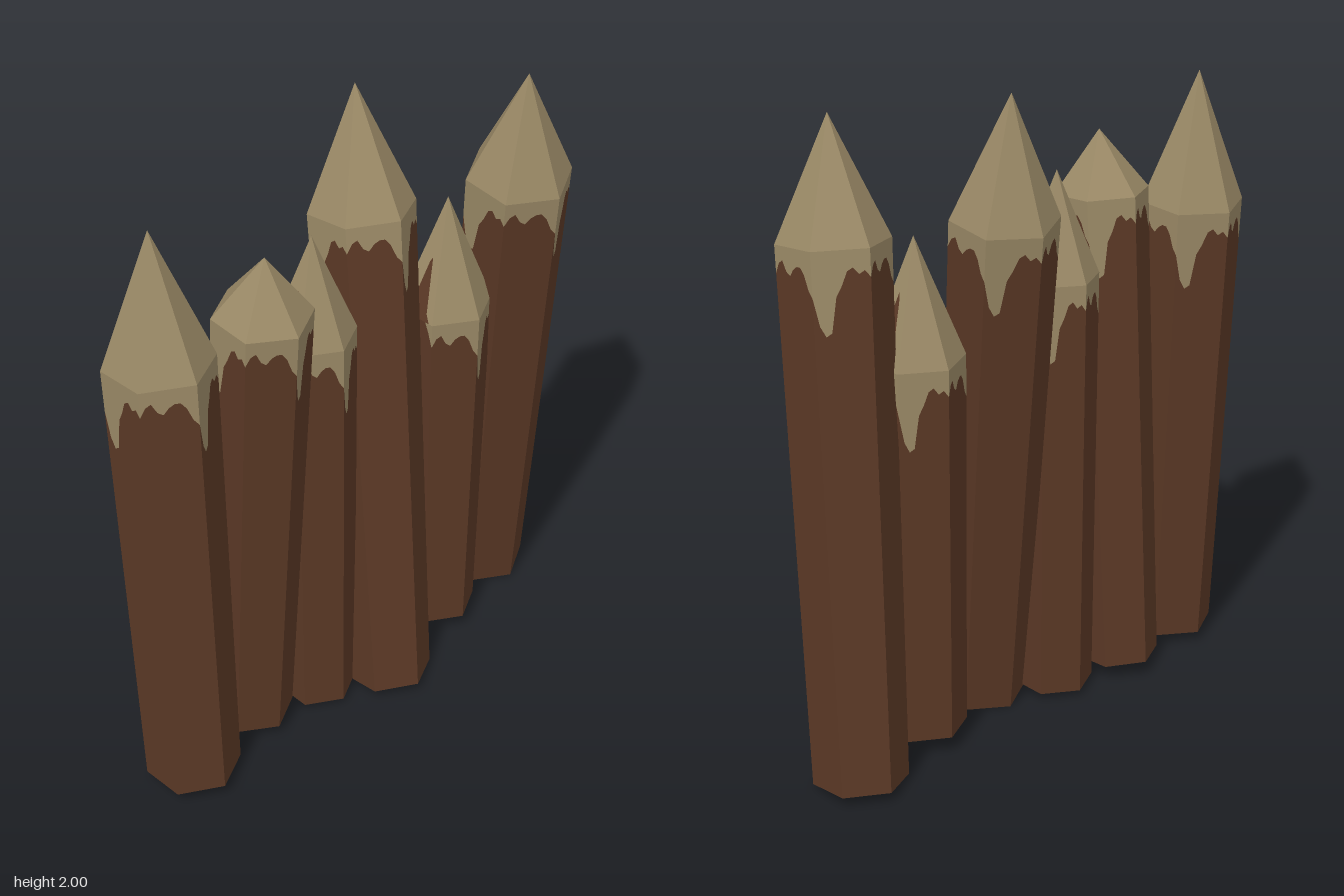
import * as THREE from 'three';

const bark = new THREE.MeshStandardMaterial({ color: 0x5a3825 });
bark.name = 'brown bark';
const wood = new THREE.MeshStandardMaterial({ color: 0x9a8966 });
wood.name = 'bare tan wood';

// Depth of the bark edge below the shoulder, across two neighbouring faces
const EDGE = [
  [-0.13, -0.21, -0.24, -0.23, -0.13, -0.10, -0.06, -0.05, -0.07, -0.06, -0.08],
  [-0.08, -0.05, -0.04, -0.07, -0.08, -0.06, -0.05, -0.05, -0.07, -0.11, -0.13],
];
const STEPS = 10;

// base and tip: axis ends; rim: length from base to shoulder;
// r0, r1: radii at base and shoulder; bump: bark creeping up the tip at front and back
const STAKES = [
  { base: [0.035, 0.04, 0.685], tip: [-0.05, 1.91, 0.68], rim: 1.46, r0: 0.145, r1: 0.161 },
  { base: [-0.04, 0.045, 0.385], tip: [0.075, 1.755, 0.385], rim: 1.525, r0: 0.132, r1: 0.147 },
  { base: [0, 0.02, 0.142], tip: [0.003, 1.69, 0.148], rim: 1.345, r0: 0.125, r1: 0.132, bump: 0.14 },
  { base: [0.11, 0.018, -0.065], tip: [-0.143, 2, -0.157], rim: 1.62, r0: 0.141, r1: 0.163 },
  { base: [0, 0.055, -0.388], tip: [0.012, 1.6, -0.388], rim: 1.18, r0: 0.132, r1: 0.146, bump: 0.15 },
  { base: [-0.088, 0.018, -0.7], tip: [0.12, 1.97, -0.595], rim: 1.61, r0: 0.142, r1: 0.164 },
];

function flatMesh(points, material, name) {
  const geometry = new THREE.BufferGeometry().setFromPoints(points);
  geometry.computeVertexNormals();
  const mesh = new THREE.Mesh(geometry, material);
  mesh.name = name;
  return mesh;
}

function makeStake({ base, tip, rim, r0, r1, bump = 0 }) {
  const start = new THREE.Vector3(...base);
  const axis = new THREE.Vector3(...tip).sub(start);
  const height = axis.length();
  const barkPoints = [], woodPoints = [];

  const corner = (k) => {
    const a = (k * Math.PI) / 3;
    return new THREE.Vector3(Math.cos(a), 0, -Math.sin(a));
  };
  // Point on face k at fraction t across, height y
  const at = (k, t, y) => {
    const r = y <= rim ? r0 + ((r1 - r0) * y) / rim : (r1 * (height - y)) / (height - rim);
    return corner(k).lerp(corner(k + 1), t).multiplyScalar(r).setY(y);
  };
  const triangle = (list, a, b, c) => {
    const area = b.clone().sub(a).cross(c.clone().sub(a)).length();
    if (area > 1e-8) list.push(a, b, c);
  };
  const edge = (k, i) => {
    const creep = k % 3 === 1 ? bump * 1.8 * Math.sin((Math.PI * i) / STEPS) ** 2 : 0;
    return rim + EDGE[k % 2][i] + creep;
  };

  for (let k = 0; k < 6; k++) {
    for (let i = 0; i < STEPS; i++) {
      const t0 = i / STEPS, t1 = (i + 1) / STEPS;
      const e0 = edge(k, i), e1 = edge(k, i + 1);
      const strip = (list, lo0, lo1, hi0, hi1) => {
        const a = at(k, t0, lo0), b = at(k, t1, lo1), c = at(k, t1, hi1), d = at(k, t0, hi0);
        triangle(list, a, b, c);
        triangle(list, a, c, d);
      };
      const low0 = Math.min(e0, rim), low1 = Math.min(e1, rim);
      const high0 = Math.max(e0, rim), high1 = Math.max(e1, rim);
      strip(barkPoints, 0, 0, low0, low1);
      strip(woodPoints, low0, low1, rim, rim);
      strip(barkPoints, rim, rim, high0, high1);
      strip(woodPoints, high0, high1, height, height);
    }
    // Cut bottom
    triangle(barkPoints, new THREE.Vector3(), at(k, 1, 0), at(k, 0, 0));
  }

  const stake = new THREE.Group();
  stake.name = 'stake';
  stake.add(flatMesh(barkPoints, bark, 'stakeBark'), flatMesh(woodPoints, wood, 'sharpenedTip'));
  stake.position.copy(start);
  stake.quaternion.setFromUnitVectors(new THREE.Vector3(0, 1, 0), axis.normalize());
  return stake;
}

export function createModel() {
  const group = new THREE.Group();
  group.name = 'palisade';
  STAKES.forEach((s) => group.add(makeStake(s)));
  return group;
}
